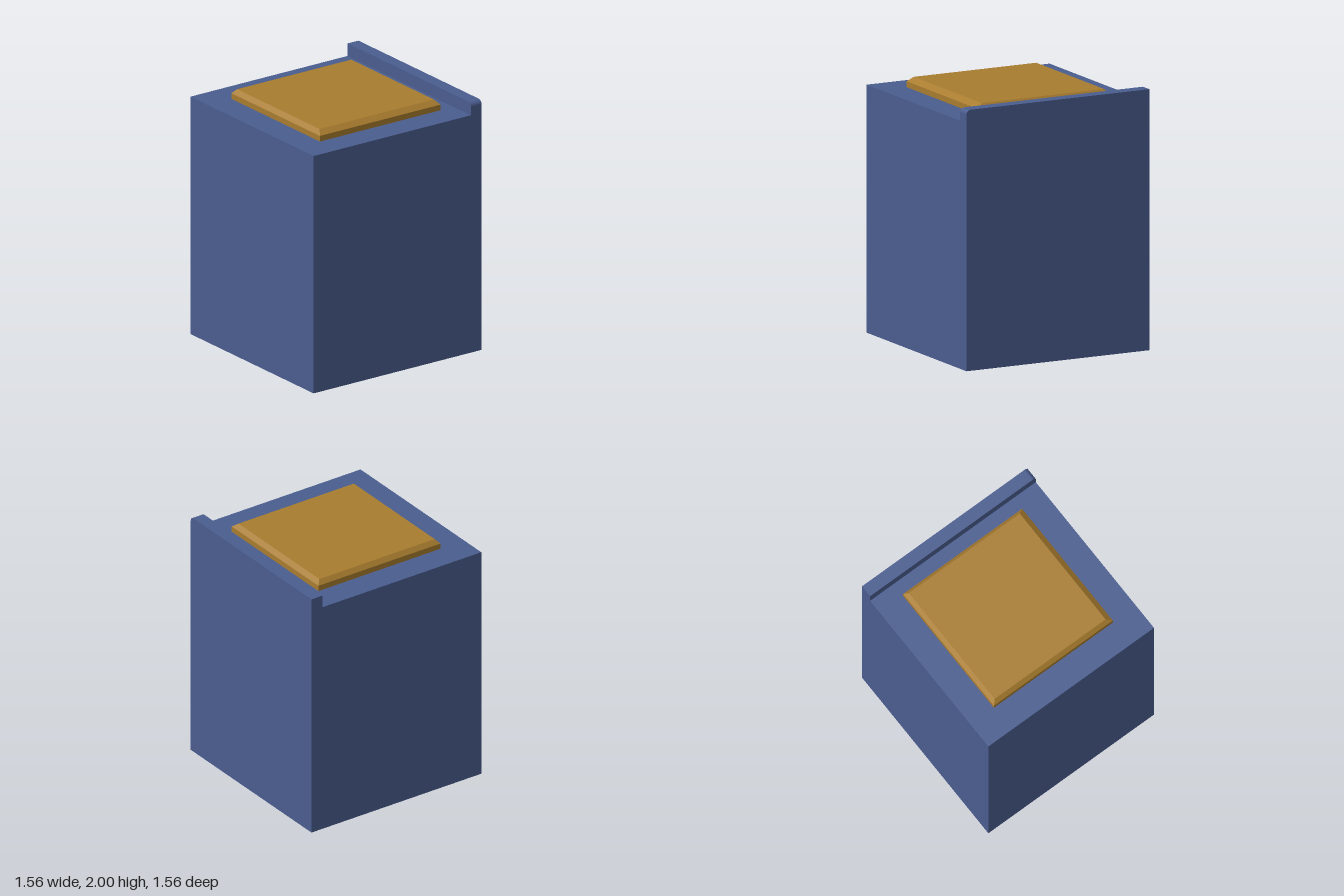
import * as THREE from 'three';

const blue = new THREE.MeshStandardMaterial({ color: 0x4a5d8f });
const gold = new THREE.MeshStandardMaterial({ color: 0xa87c2e, flatShading: true });

const HALF = 0.78; // half width of the cabinet
const DECK = 1.9; // height of the cabinet top

function addPart(group, name, geometry, material) {
  const mesh = new THREE.Mesh(geometry, material);
  mesh.name = name;
  group.add(mesh);
  return mesh;
}

// Upstand along the back edge, rounded at its left upper corner
function ledgeGeometry() {
  const r = 0.035;
  const shape = new THREE.Shape();
  shape.moveTo(-HALF, DECK);
  shape.lineTo(HALF, DECK);
  shape.lineTo(HALF, 2 - r);
  shape.absarc(HALF - r, 2 - r, r, 0, Math.PI / 2, false);
  shape.lineTo(-HALF, 2);
  shape.closePath();
  return new THREE.ExtrudeGeometry(shape, { depth: 0.1, bevelEnabled: false, curveSegments: 5 });
}

// Square slab with a chamfered upper rim: a four-sided lathe
function slabGeometry() {
  const profile = [[0, DECK], [0.56, DECK], [0.56, 1.945], [0.53, 1.98], [0, 1.98]]
    .map(([half, y]) => new THREE.Vector2(half * Math.SQRT2, y));
  const geometry = new THREE.LatheGeometry(profile, 4, Math.PI / 4).toNonIndexed();
  // The chamfer is a little wider on the left side
  const p = geometry.attributes.position;
  for (let i = 0; i < p.count; i++) {
    if (p.getX(i) > 0.5 && p.getY(i) > 1.97) p.setX(i, 0.515);
  }
  geometry.computeVertexNormals();
  return geometry;
}

export function createModel() {
  const model = new THREE.Group();
  model.name = 'cabinetWithSlab';

  const body = addPart(model, 'cabinetBody', new THREE.BoxGeometry(2 * HALF, DECK, 2 * HALF), blue);
  body.position.y = DECK / 2;

  const ledge = addPart(model, 'backLedge', ledgeGeometry(), blue);
  ledge.position.z = -HALF;

  addPart(model, 'topSlab', slabGeometry(), gold);
  return model;
}
